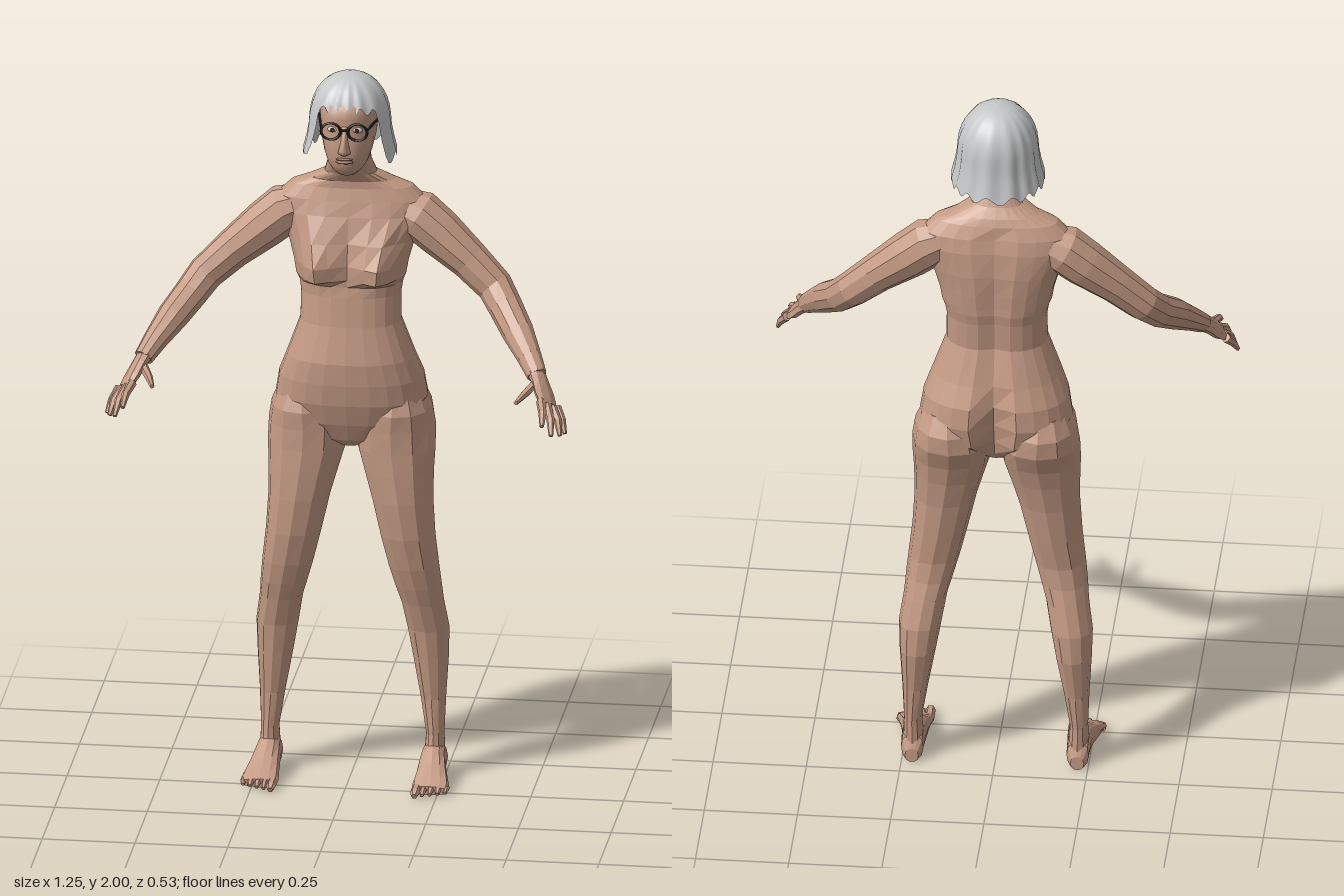
import * as THREE from 'three';

const V = (x, y, z) => new THREE.Vector3(x, y, z);
const pow = (v, p) => Math.sign(v) * Math.abs(v) ** p;
const material = (name, color, extra) => new THREE.MeshStandardMaterial({ name, color, ...extra });

// Joins closed rings of points into a surface; caps both ends unless open.
function skin(rings, flat = true, open = false) {
  const n = rings[0].length, last = (rings.length - 1) * n, pts = rings.flat(), index = [];
  for (let i = 0; i < rings.length - 1; i++) {
    for (let j = 0; j < n; j++) {
      const a = i * n + j, b = i * n + (j + 1) % n;
      index.push(a, b, b + n, a, b + n, a + n);
    }
  }
  if (!open) {
    for (const ring of [rings[0], rings[rings.length - 1]]) {
      pts.push(ring.reduce((s, p) => s.add(p), V(0, 0, 0)).divideScalar(n));
    }
    const c = rings.length * n;
    for (let j = 0; j < n; j++) {
      const k = (j + 1) % n;
      index.push(c, k, j, c + 1, last + j, last + k);
    }
  }
  let geo = new THREE.BufferGeometry().setFromPoints(pts);
  geo.setIndex(index);
  if (flat) geo = geo.toNonIndexed();
  geo.computeVertexNormals();
  return geo;
}

// Level cross-section: height, centre x, half width, front z, back z.
function level(y, cx, hw, zf, zb, sides, p = 0.85) {
  return Array.from({ length: sides }, (_, j) => {
    const a = j / sides * Math.PI * 2;
    return V(cx + hw * pow(Math.sin(a), p), y, (zf + zb) / 2 + (zf - zb) / 2 * pow(Math.cos(a), p));
  });
}

// Limb along points [x, y, z, radius, thickness]; the radius lies along ref.
function limb(path, ref, sides = 8) {
  const c = path.map(p => V(p[0], p[1], p[2]));
  return path.map(([, , , ru, rv = ru], i) => {
    const t = c[Math.min(i + 1, c.length - 1)].clone().sub(c[Math.max(i - 1, 0)]).normalize();
    const u = ref.clone().addScaledVector(t, -ref.dot(t)).normalize();
    const v = t.clone().cross(u);
    return Array.from({ length: sides }, (_, j) => {
      const a = j / sides * Math.PI * 2;
      return c[i].clone().addScaledVector(u, ru * Math.cos(a)).addScaledVector(v, rv * Math.sin(a));
    });
  });
}

export function createModel() {
  const model = new THREE.Group();
  model.name = 'olderWoman';
  const skinTone = material('skin', 0xc49a84);
  const hairGrey = material('greyHair', 0xc6c7c8, { side: THREE.DoubleSide });
  const frameBlack = material('glassesFrame', 0x1c1a19);
  const eyeWhite = material('eyeWhite', 0xd8d0c8);
  const iris = material('iris', 0x3a2a20);
  const lipTone = material('lips', 0x9c6c5e);

  const add = (name, geo, mat, x = 0, y = 0, z = 0) => {
    const mesh = new THREE.Mesh(geo, mat);
    mesh.name = name;
    mesh.position.set(x, y, z);
    model.add(mesh);
    return mesh;
  };
  const pair = (name, rings, mat) => {
    add(name + 'Left', skin(rings), mat);
    add(name + 'Right', skin(rings.map(r => r.map(p => V(-p.x, p.y, p.z)).reverse())), mat);
  };

  // Torso and neck: y, half width, front z, back z, bust depth, spine groove
  const torso = [
    [0.945, 0.03, -0.08, -0.17, 0, 0], [0.97, 0.09, -0.05, -0.21, 0, 0.02],
    [1.02, 0.18, -0.028, -0.258, 0, 0.05], [1.08, 0.205, -0.01, -0.268, 0, 0.045],
    [1.14, 0.195, -0.002, -0.262, 0, 0.03], [1.2, 0.172, 0, -0.24, 0, 0.015],
    [1.3, 0.136, -0.02, -0.21, 0, 0.015], [1.38, 0.135, -0.03, -0.215, 0, 0.015],
    [1.41, 0.14, -0.035, -0.22, 0.005, 0.015], [1.43, 0.148, -0.035, -0.22, 0.052, 0.015],
    [1.47, 0.155, -0.035, -0.222, 0.056, 0.015], [1.53, 0.172, -0.045, -0.222, 0.03, 0.012],
    [1.6, 0.2, -0.06, -0.215, 0.005, 0.01], [1.64, 0.2, -0.07, -0.205, 0, 0.01],
    [1.675, 0.165, -0.08, -0.19, 0, 0], [1.695, 0.115, -0.08, -0.18, 0, 0],
    [1.72, 0.07, -0.065, -0.16, 0, 0], [1.76, 0.058, -0.04, -0.14, 0, 0],
    [1.8, 0.055, -0.04, -0.14, 0, 0],
  ].map(([y, hw, zf, zb, bust, groove]) => {
    const ring = level(y, 0, hw, zf, zb, 24);
    for (const p of ring) {
      if (p.z > (zf + zb) / 2) p.z += bust * Math.exp(-(((Math.abs(p.x) - 0.085) / 0.045) ** 2));
      else p.z += groove * Math.exp(-((p.x / 0.03) ** 2));
    }
    return ring;
  });
  add('torso', skin(torso), skinTone);

  // Legs: y, inner x, outer x, front z, back z
  pair('leg', [
    [0.05, 0.193, 0.25, -0.1, -0.195], [0.12, 0.198, 0.247, -0.11, -0.193],
    [0.22, 0.182, 0.251, -0.113, -0.2], [0.34, 0.16, 0.258, -0.1, -0.222],
    [0.42, 0.146, 0.26, -0.09, -0.22], [0.5, 0.132, 0.248, -0.07, -0.202],
    [0.55, 0.117, 0.244, -0.055, -0.19], [0.61, 0.1, 0.238, -0.04, -0.185],
    [0.7, 0.078, 0.228, -0.025, -0.195], [0.8, 0.055, 0.222, -0.02, -0.205],
    [0.88, 0.032, 0.223, -0.022, -0.22], [0.94, 0.014, 0.226, -0.025, -0.237],
    [1.0, 0.01, 0.225, -0.025, -0.265], [1.05, 0.025, 0.217, -0.022, -0.266],
    [1.1, 0.05, 0.195, -0.04, -0.24],
  ].map(([y, xi, xo, zf, zb]) => level(y, (xi + xo) / 2, (xo - xi) / 2, zf, zb, 12, 0.92)), skinTone);

  // Feet: z, centre x, half width, height
  pair('foot', [
    [-0.2, 0.222, 0.018, 0.04], [-0.185, 0.222, 0.03, 0.075], [-0.14, 0.222, 0.032, 0.1],
    [-0.1, 0.222, 0.035, 0.092], [-0.05, 0.226, 0.042, 0.063], [0, 0.23, 0.05, 0.036],
    [0.022, 0.23, 0.047, 0.024],
  ].map(([z, cx, hw, h]) => Array.from({ length: 12 }, (_, j) => {
    const a = j / 12 * Math.PI * 2;
    return V(cx + hw * Math.cos(a), h * (0.5 + 0.5 * pow(Math.sin(a), 0.7)), z);
  })), skinTone);
  for (let i = 0; i < 5; i++) {
    const x = 0.194 + i * 0.0195, tip = 0.064 - i * 0.009, r = i ? 0.009 : 0.013;
    pair('toe' + (i + 1), limb([[x, 0.014, -0.005, r], [x, 0.015, tip - 0.015, r], [x, 0.009, tip, r * 0.6]],
      V(1, 0, 0), 6), skinTone);
  }

  // Arms bend forward at the elbow
  pair('arm', limb([
    [0.12, 1.615, -0.14, 0.05], [0.18, 1.59, -0.138, 0.068], [0.235, 1.545, -0.132, 0.065],
    [0.32, 1.475, -0.117, 0.054], [0.39, 1.41, -0.1, 0.049], [0.425, 1.365, -0.06, 0.046],
    [0.465, 1.32, 0, 0.043], [0.505, 1.27, 0.06, 0.033], [0.53, 1.235, 0.1, 0.027],
  ], V(0, 0, 1), 10), skinTone);

  // Hands: flat palm, four fingers and a thumb
  const spread = V(0.053, -0.045, -0.08);
  pair('palm', limb([
    [0.522, 1.247, 0.085, 0.026, 0.022], [0.54, 1.222, 0.115, 0.032, 0.018],
    [0.556, 1.195, 0.142, 0.039, 0.016], [0.57, 1.174, 0.168, 0.036, 0.012],
  ], spread), skinTone);
  const digits = {
    thumb: [[0.532, 1.222, 0.115], [0.507, 1.207, 0.172], [0.49, 1.2, 0.228]],
    indexFinger: [[0.551, 1.19, 0.178], [0.562, 1.174, 0.228], [0.565, 1.15, 0.265]],
    middleFinger: [[0.566, 1.178, 0.174], [0.582, 1.153, 0.216], [0.588, 1.12, 0.252]],
    ringFinger: [[0.579, 1.168, 0.16], [0.598, 1.142, 0.19], [0.607, 1.108, 0.214]],
    littleFinger: [[0.589, 1.163, 0.145], [0.606, 1.136, 0.168], [0.617, 1.105, 0.188]],
  };
  for (const [name, joints] of Object.entries(digits)) {
    pair(name, limb(joints.map((p, i) => [...p, [0.013, 0.011, 0.006][i]]), spread, 6), skinTone);
  }

  // Head: y, half width, front z, back z
  add('head', skin([
    [1.738, 0.026, -0.01, -0.09], [1.75, 0.04, 0.005, -0.11], [1.77, 0.054, 0.016, -0.14],
    [1.8, 0.064, 0.022, -0.16], [1.84, 0.073, 0.02, -0.18], [1.875, 0.076, 0.015, -0.19],
    [1.905, 0.076, 0.021, -0.19], [1.935, 0.073, 0.012, -0.185], [1.96, 0.06, -0.02, -0.17],
    [1.98, 0.03, -0.06, -0.13],
  ].map(([y, hw, zf, zb]) => level(y, 0, hw, zf, zb, 24, 0.88)), false), skinTone);
  add('nose', skin([
    [1.805, 0.009, 0.028], [1.812, 0.018, 0.041], [1.823, 0.015, 0.047], [1.85, 0.009, 0.034], [1.885, 0.009, 0.024],
  ].map(([y, hw, zf]) => level(y, 0, hw, zf, -0.01, 10, 1)), false), skinTone);
  for (const [name, y, h] of [['upperLip', 1.794, 0.004], ['lowerLip', 1.786, 0.005]]) {
    add(name, new THREE.SphereGeometry(1, 12, 8).scale(0.024, h, 0.009), lipTone, 0, y, 0.019);
  }

  // Eyes and round glasses
  for (const [side, s] of [['Left', 1], ['Right', -1]]) {
    add('eye' + side, new THREE.SphereGeometry(1, 14, 10).scale(0.014, 0.008, 0.008), eyeWhite, s * 0.033, 1.874, 0.007);
    add('iris' + side, new THREE.CylinderGeometry(0.006, 0.006, 0.004, 12).rotateX(Math.PI / 2), iris, s * 0.033, 1.874, 0.014);
    add('glassesRim' + side, new THREE.TorusGeometry(0.026, 0.0038, 6, 24).scale(1, 0.88, 1), frameBlack, s * 0.036, 1.874, 0.025);
    const temple = new THREE.LineCurve3(V(s * 0.061, 1.88, 0.025), V(s * 0.083, 1.882, -0.09));
    add('glassesTemple' + side, new THREE.TubeGeometry(temple, 1, 0.0035, 6), frameBlack);
  }
  add('glassesBridge', new THREE.BoxGeometry(0.022, 0.006, 0.005), frameBlack, 0, 1.878, 0.026);

  // Wavy bob: the lower edge lifts over the face and flares at the ends
  const rows = 12, columns = 96, hair = [];
  for (let i = 0; i <= rows; i++) {
    const t = 1 - i / rows;
    hair.push(Array.from({ length: columns }, (_, j) => {
      const a = j / columns * Math.PI * 2, turn = Math.min(a, Math.PI * 2 - a);
      const lock = Math.sin(15 * a + 1.6 * Math.sin(3 * a));
      const open = 1 - THREE.MathUtils.smoothstep(turn, 0.8, 1.1);
      const edge = 1.778 + 0.145 * open + 0.011 * lock;
      const y = 2 - (2 - edge) * t * t;
      const d = Math.max(0, (y - 1.87) / 0.13), drop = Math.max(0, (1.87 - y) / 0.09);
      const r = Math.max(0, 1 - d * d) ** 0.42 * (1 + 0.035 * lock * t) + 0.16 * drop ** 1.5;
      return V(0.108 * r * Math.sin(a), y, -0.093 + 0.117 * r * Math.cos(a));
    }));
  }
  add('hair', skin(hair, false, true), hairGrey);

  return model;
}
